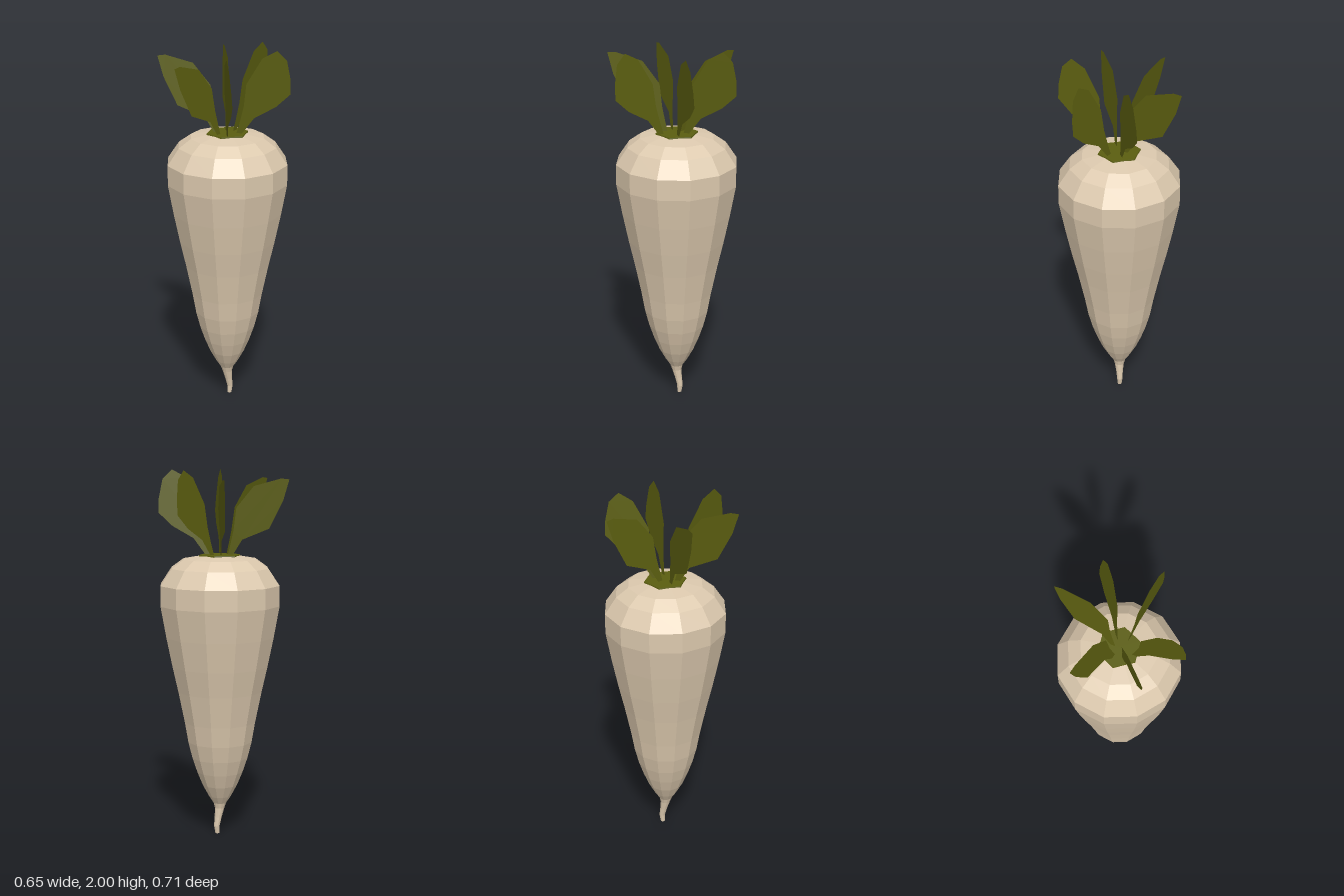
import * as THREE from 'three';

const rootMaterial = new THREE.MeshStandardMaterial({ color: 0xdcc9ae, flatShading: true });
rootMaterial.name = 'creamRoot';
const leafMaterial = new THREE.MeshStandardMaterial({ color: 0x5b5e10, flatShading: true, side: THREE.DoubleSide });
leafMaterial.name = 'oliveLeaf';

const AXIS_Z = -0.027;
const CROWN_Y = 1.545;

// Root profile: radius, height, sideways bend in z
const ROOT = [
  [0, 0.005, -0.018], [0.012, 0.008, -0.018], [0.016, 0.05, -0.022], [0.02, 0.1, -0.012],
  [0.027, 0.15, -0.002], [0.036, 0.18, 0], [0.062, 0.22, 0], [0.097, 0.285, 0], [0.128, 0.36, 0],
  [0.155, 0.44, 0], [0.178, 0.53, 0], [0.197, 0.64, 0], [0.232, 0.81, 0], [0.264, 0.95, 0],
  [0.297, 1.11, 0], [0.328, 1.28, 0], [0.328, 1.39, 0], [0.267, 1.48, 0], [0.2, 1.528, 0],
  [0.1, CROWN_Y, 0], [0, 1.547, 0],
];

// Leaf outlines: distance along the leaf (0 to 1), height
const TALL_LEAF = [
  [-0.02, 1.545], [0.08, 1.545], [0.32, 1.635], [0.73, 1.7], [1, 1.77], [1, 1.845],
  [0.93, 1.95], [0.75, 2], [0.48, 1.96], [0.18, 1.82], [0.13, 1.7], [0.05, 1.61],
];
const POINTED_LEAF = [
  [-0.02, 1.545], [0.06, 1.545], [0.22, 1.63], [0.67, 1.69], [0.9, 1.84], [1, 1.95],
  [0.87, 1.955], [0.42, 1.915], [0.13, 1.8], [0.08, 1.68], [0.03, 1.61],
];

// Each leaf: outline, base x z, outermost x z
const LEAVES = [
  [TALL_LEAF, 0, -0.07, -0.038, -0.345],
  [TALL_LEAF, 0.05, -0.053, 0.262, -0.235],
  [TALL_LEAF, 0.06, 0.025, 0.288, 0.187],
  [POINTED_LEAF, 0.007, 0.03, 0.053, 0.352],
  [POINTED_LEAF, -0.03, 0.012, -0.27, 0.227],
  [POINTED_LEAF, -0.022, -0.038, -0.285, -0.223],
];

function makeRoot() {
  const sides = 12;
  const geometry = new THREE.LatheGeometry(
    ROOT.map(([r, y]) => new THREE.Vector2(r, y)), sides, THREE.MathUtils.degToRad(6.5));
  const position = geometry.attributes.position;
  for (let i = 0; i < position.count; i++) {
    position.setZ(i, position.getZ(i) + AXIS_Z + ROOT[i % ROOT.length][2]);
  }
  geometry.computeVertexNormals();
  return new THREE.Mesh(geometry, rootMaterial);
}

// A flat radial blade leaning slightly sideways
function makeLeaf([outline, x0, z0, x1, z1]) {
  const shape = new THREE.Shape(outline.map(([u, y]) => new THREE.Vector2(u, y)));
  const geometry = new THREE.ShapeGeometry(shape);
  const position = geometry.attributes.position;
  const dx = x1 - x0, dz = z1 - z0, length = Math.hypot(dx, dz);
  for (let i = 0; i < position.count; i++) {
    const u = position.getX(i), y = position.getY(i);
    const lean = 0.08 * (y - CROWN_Y - 0.3 * u);
    position.setXYZ(i, x0 + dx * u - dz / length * lean, y, z0 + dz * u + dx / length * lean);
  }
  geometry.computeVertexNormals();
  return new THREE.Mesh(geometry, leafMaterial);
}

export function createModel() {
  const model = new THREE.Group();
  model.name = 'rootVegetable';

  const root = makeRoot();
  root.name = 'root';
  model.add(root);

  // Thin green patch where the leaves grow
  const crown = new THREE.Mesh(
    new THREE.CylinderGeometry(0.113, 0.115, 0.009, 6, 1, false, THREE.MathUtils.degToRad(35)), leafMaterial);
  crown.name = 'leafCrown';
  crown.position.set(0, 1.546, AXIS_Z);
  model.add(crown);

  const leaves = new THREE.Group();
  leaves.name = 'leaves';
  LEAVES.forEach((spec, i) => {
    const leaf = makeLeaf(spec);
    leaf.name = `leaf${i + 1}`;
    leaves.add(leaf);
  });
  model.add(leaves);

  return model;
}
